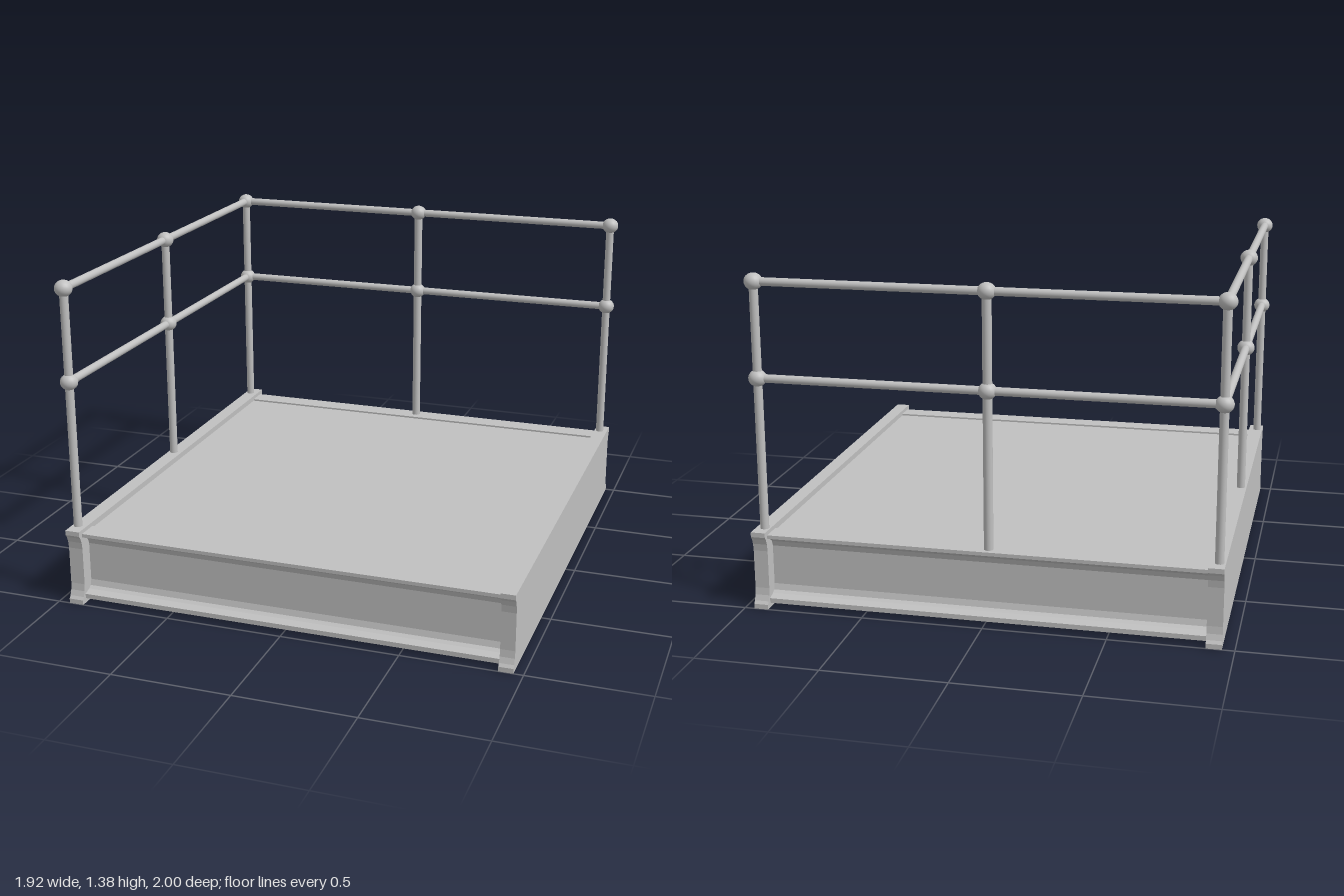
import * as THREE from 'three';

const steel = new THREE.MeshStandardMaterial({ color: 0xc0c0c0 });
steel.name = 'steel grey';

const RAIL_HEIGHTS = [0.96, 1.35];
const LEFT_X = -0.925, BACK_Z = -0.937;

function addMesh(parent, name, geometry) {
  const mesh = new THREE.Mesh(geometry, steel);
  mesh.name = name;
  parent.add(mesh);
  return mesh;
}

// Extrudes a (z, y) profile along x between x0 and x1
function extrudeAlongX(points, x0, x1) {
  const shape = new THREE.Shape(points.map(([z, y]) => new THREE.Vector2(z, y)));
  const geometry = new THREE.ExtrudeGeometry(shape, { depth: x1 - x0, bevelEnabled: false });
  return geometry.rotateY(-Math.PI / 2).translate(x1, 0, 0);
}

// Round bar between two points
function addBar(parent, name, from, to, radius) {
  const a = new THREE.Vector3(...from), b = new THREE.Vector3(...to);
  const direction = b.clone().sub(a);
  const bar = addMesh(parent, name, new THREE.CylinderGeometry(radius, radius, direction.length(), 20));
  bar.position.copy(a).add(b).multiplyScalar(0.5);
  bar.quaternion.setFromUnitVectors(new THREE.Vector3(0, 1, 0), direction.normalize());
}

// Posts with ball joints, joined by two rails
function addRailing(parent, name, posts, skipJoint = -1) {
  const railing = new THREE.Group();
  railing.name = name;
  posts.forEach(([x, z, base, radius], i) => {
    if (i === skipJoint) return; // corner post is shared
    addBar(railing, 'post', [x, base, z], [x, 1.35, z], radius);
    for (const y of RAIL_HEIGHTS) {
      const joint = addMesh(railing, 'ballJoint', new THREE.SphereGeometry(0.037, 20, 14));
      joint.scale.y = 0.93;
      joint.position.set(x, y, z);
    }
  });
  const first = posts[0], last = posts[posts.length - 1];
  for (const y of RAIL_HEIGHTS) {
    addBar(railing, 'rail', [first[0], y, first[1]], [last[0], y, last[1]], 0.017);
  }
  parent.add(railing);
}

export function createModel() {
  const model = new THREE.Group();
  model.name = 'platform';

  // Side beams, with hollowed ends
  const end = [[1, 0], [1, 0.02], [0.991, 0.032], [0.982, 0.055], [0.978, 0.085],
    [0.978, 0.245], [0.982, 0.275], [0.991, 0.298], [1, 0.31], [1, 0.33]];
  const sideProfile = [...end, ...end.map(([z, y]) => [-z, y]).reverse()];
  addMesh(model, 'rightBeam', extrudeAlongX(sideProfile, -0.95, -0.887));
  addMesh(model, 'leftBeam', extrudeAlongX(sideProfile, 0.9, 0.96));

  // Front and back channels, open to the outside
  const channel = [[0.885, 0.02], [0.975, 0.02], [0.975, 0.04], [0.942, 0.05], [0.928, 0.06],
    [0.92, 0.085], [0.92, 0.25], [0.928, 0.272], [0.942, 0.284], [0.975, 0.298],
    [0.975, 0.313], [0.885, 0.313]];
  for (const [name, s] of [['frontBeam', 1], ['backBeam', -1]]) {
    addMesh(model, name, extrudeAlongX(channel.map(([z, y]) => [z * s, y]), -0.887, 0.9));
  }

  // Deck plate
  const deck = addMesh(model, 'deck', new THREE.BoxGeometry(1.787, 0.016, 1.77));
  deck.position.set(0.0065, 0.297, 0);

  // Railings along the side and the back
  addRailing(model, 'sideRailing',
    [[LEFT_X, 0.935, 0.32, 0.018], [LEFT_X, 0.005, 0.32, 0.018], [LEFT_X, BACK_Z, 0.32, 0.018]]);
  addRailing(model, 'backRailing',
    [[LEFT_X, BACK_Z, 0.32, 0.018], [-0.015, BACK_Z, 0.305, 0.019], [0.924, BACK_Z, 0.32, 0.018]], 0);

  return model;
}
